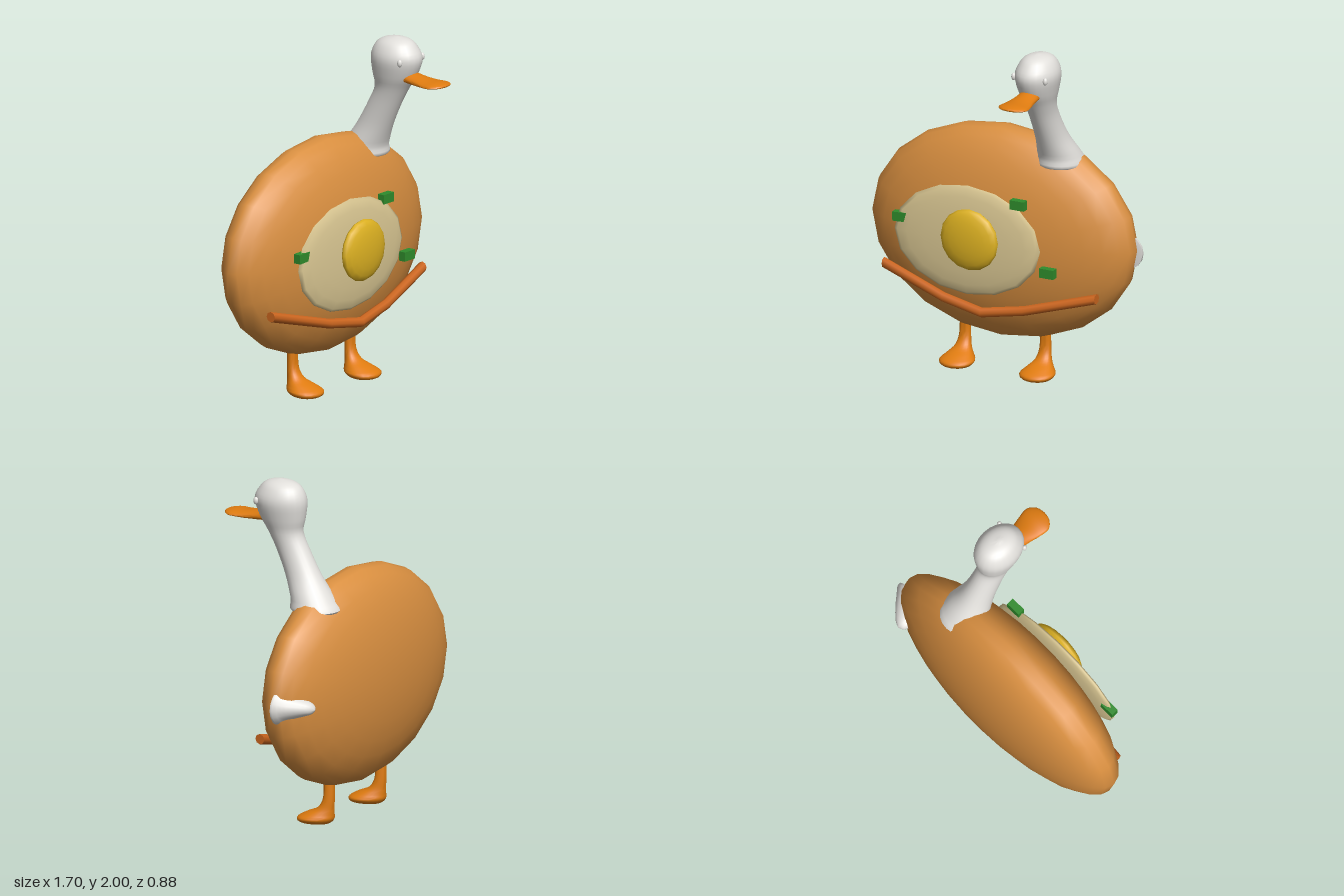
import * as THREE from 'three';
import { mergeVertices, toCreasedNormals } from 'three/addons/utils/BufferGeometryUtils.js';

const mat = (name, color) => {
  const m = new THREE.MeshStandardMaterial({ color });
  m.name = name;
  return m;
};

// Loft of ellipses: each section is [t, centreA, centreB, radiusA, radiusB].
// axis 'y': t=y, a=x, b=z, going up; 'z': t=z, a=x, b=y, going back; 'x': t=x, a=y, b=z, going to -x.
// taper widens the ring in a toward +b.
function loft(axis, sections, { sides = 24, steps = 4, taper = 0 } = {}) {
  const curve = (f) => new THREE.CatmullRomCurve3(sections.map(f), false, 'catmullrom', 0.5);
  const mid = curve((s) => new THREE.Vector3(s[0], s[1], s[2]));
  const rad = curve((s) => new THREE.Vector3(s[3], s[4], 0));
  const n = (sections.length - 1) * steps;
  const pos = [], index = [];
  for (let i = 0; i <= n; i++) {
    const c = mid.getPoint(i / n), r = rad.getPoint(i / n);
    for (let j = 0; j < sides; j++) {
      const th = (j / sides) * Math.PI * 2;
      const a = c.y + Math.max(r.x, 0) * Math.cos(th) * (1 + taper * Math.sin(th));
      const b = c.z + Math.max(r.y, 0) * Math.sin(th);
      pos.push(...(axis === 'y' ? [a, c.x, b] : axis === 'z' ? [a, b, c.x] : [c.x, a, b]));
      if (i < n) {
        const p = i * sides + j, q = i * sides + (j + 1) % sides;
        index.push(p, p + sides, q, q, p + sides, q + sides);
      }
    }
  }
  const g = new THREE.BufferGeometry();
  g.setAttribute('position', new THREE.Float32BufferAttribute(pos, 3));
  g.setIndex(index);
  return toCreasedNormals(mergeVertices(g), 0.95);
}

// Flattened sphere with its poles on z
function disc(rx, ry, rz, segments, rings) {
  return new THREE.SphereGeometry(1, segments, rings).rotateX(Math.PI / 2).scale(rx, ry, rz);
}

export function createModel() {
  const group = new THREE.Group();
  const bread = mat('toasted bread', 0xd98f40);
  const white = mat('feather white', 0xe2e0dc);
  const orange = mat('beak orange', 0xe07c10);
  const eggWhite = mat('egg white', 0xdcc994);
  const yolk = mat('yolk yellow', 0xdfb322);
  const green = mat('herb green', 0x2f8c2c);
  const sausage = mat('sausage brown', 0xcc661f);

  const add = (name, geometry, material, x = 0, y = 0, z = 0) => {
    const m = new THREE.Mesh(geometry, material);
    m.name = name;
    m.position.set(x, y, z);
    group.add(m);
    return m;
  };

  // Flat oval body
  add('body', disc(0.835, 0.625, 0.258, 20, 16), bread, -0.015, 0.825, -0.18);

  // Fried egg
  add('eggWhite', disc(0.462, 0.322, 0.043, 16, 10), eggWhite, -0.107, 0.828, 0.1);
  add('eggYolk', disc(0.182, 0.18, 0.05, 16, 10), yolk, -0.063, 0.853, 0.16);

  // Herb pieces
  for (const [x, y, tilt] of [[0.215, 1.086, 0], [-0.53, 0.9, 0.04], [0.402, 0.712, 0]]) {
    add('herb', new THREE.BoxGeometry(0.09, 0.054, 0.044), green, x, y, 0.097).rotation.z = tilt;
  }

  // Bent strip below the egg
  add('strip', loft('x', [
    [0.66, 0.57, 0, 0, 0],
    [0.66, 0.57, 0, 0.03, 0.03],
    [0.24, 0.455, 0.075, 0.029, 0.029],
    [-0.015, 0.412, 0.1, 0.029, 0.029],
    [-0.27, 0.455, 0.075, 0.029, 0.029],
    [-0.69, 0.57, 0, 0.03, 0.03],
    [-0.69, 0.57, 0, 0, 0],
  ], { sides: 8, steps: 1 }), sausage);

  // Neck and head in one sweep
  add('neckAndHead', loft('y', [
    [1.28, 0.35, -0.17, 0, 0],
    [1.28, 0.35, -0.17, 0.13, 0.14],
    [1.34, 0.347, -0.15, 0.125, 0.13],
    [1.46, 0.337, -0.08, 0.092, 0.11],
    [1.6, 0.331, -0.003, 0.08, 0.102],
    [1.7, 0.331, 0.049, 0.086, 0.106],
    [1.78, 0.331, 0.069, 0.106, 0.138],
    [1.88, 0.332, 0.081, 0.123, 0.159],
    [1.95, 0.332, 0.077, 0.099, 0.128],
    [1.985, 0.332, 0.08, 0.06, 0.08],
    [2.0, 0.332, 0.083, 0, 0],
  ]), white);

  // Bill: narrow at the root, broad and rounded at the tip
  add('bill', loft('z', [
    [0.44, 0.332, 1.767, 0, 0],
    [0.428, 0.332, 1.767, 0.05, 0.009],
    [0.385, 0.332, 1.766, 0.086, 0.017],
    [0.32, 0.332, 1.765, 0.08, 0.021],
    [0.25, 0.332, 1.77, 0.066, 0.028],
    [0.16, 0.332, 1.782, 0.058, 0.036],
  ], { taper: -0.2 }), orange);

  // Eyes
  for (const s of [-1, 1]) {
    add('eye', new THREE.SphereGeometry(1, 12, 8).scale(0.014, 0.022, 0.015), white, 0.332 + s * 0.1, 1.877, 0.183);
  }

  // Stubby tail on the left edge
  add('tail', loft('z', [
    [-0.195, 0.735, 0.808, 0, 0],
    [-0.195, 0.735, 0.808, 0.113, 0.107],
    [-0.25, 0.715, 0.808, 0.098, 0.075],
    [-0.31, 0.69, 0.807, 0.072, 0.05],
    [-0.36, 0.672, 0.804, 0.037, 0.028],
    [-0.38, 0.668, 0.802, 0, 0],
  ], { sides: 16, steps: 3 }), white);

  // Legs flaring into flat feet
  const leg = loft('y', [
    [0.005, 0, -0.1, 0, 0],
    [0.008, 0, -0.09, 0.07, 0.085],
    [0.035, 0, -0.098, 0.1, 0.108],
    [0.065, 0, -0.125, 0.075, 0.085],
    [0.1, 0, -0.163, 0.047, 0.049],
    [0.16, 0, -0.183, 0.034, 0.033],
    [0.27, 0, -0.185, 0.03, 0.031],
  ], { taper: 0.2 });
  for (const s of [-1, 1]) add(s > 0 ? 'leftLeg' : 'rightLeg', leg, orange, -0.015 + s * 0.255, 0, 0);

  return group;
}
